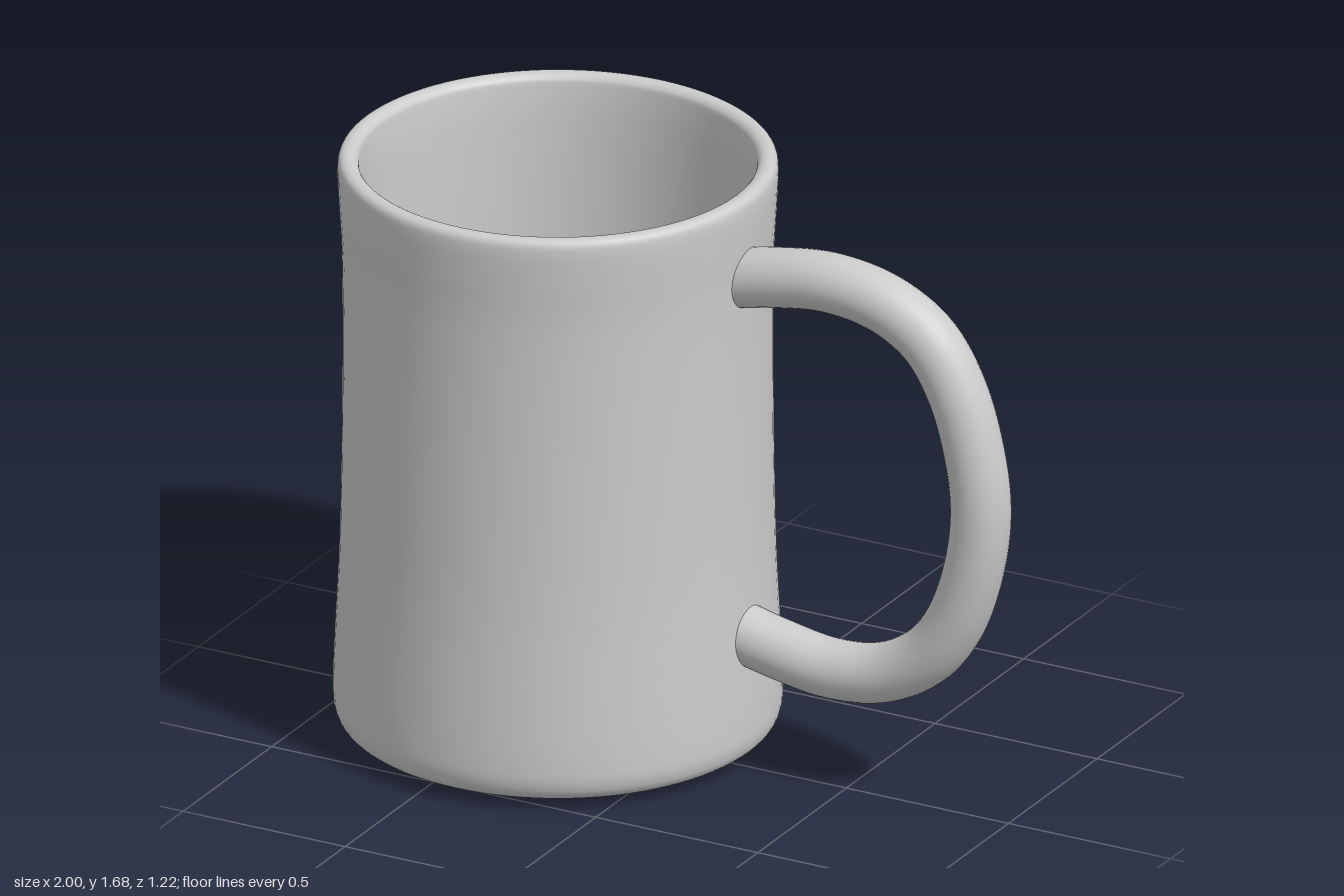
import * as THREE from 'three';

const CENTRE_X = -0.39;
const HANDLE_RADIUS = 0.083;

// Smooth curve through [a, b] pairs
function smoothPoints(pairs, count) {
  return new THREE.SplineCurve(pairs.map(([a, b]) => new THREE.Vector2(a, b))).getPoints(count);
}

export function createModel() {
  const group = new THREE.Group();
  const material = new THREE.MeshStandardMaterial({ color: 0xcccccc, roughness: 0.6 });

  // Body: underside, waisted outer wall, rounded rim, inner wall and floor
  const profile = smoothPoints([
    [0, 0], [0.25, 0.002], [0.42, 0.008], [0.53, 0.02], [0.585, 0.04], [0.607, 0.08], [0.61, 0.15],
    [0.604, 0.3], [0.592, 0.55], [0.586, 0.85], [0.584, 1.15], [0.586, 1.4], [0.594, 1.55],
    [0.598, 1.64], [0.592, 1.675], [0.57, 1.685], [0.546, 1.675], [0.538, 1.64],
    [0.532, 1.5], [0.53, 1.1], [0.535, 0.6], [0.545, 0.25], [0.535, 0.16],
    [0.49, 0.115], [0.38, 0.1], [0.2, 0.095], [0, 0.095],
  ], 130);
  profile[0].x = 0;
  profile[profile.length - 1].x = 0;
  const body = new THREE.Mesh(new THREE.LatheGeometry(profile, 96), material);
  body.name = 'mugBody';
  body.position.x = CENTRE_X;
  group.add(body);

  // Handle: round tube whose ends are buried in the wall
  const path = new THREE.CatmullRomCurve3([
    [0.165, 1.437], [0.28, 1.462], [0.45, 1.482], [0.62, 1.455], [0.755, 1.375], [0.84, 1.245],
    [0.895, 1.07], [0.915, 0.91], [0.897, 0.745], [0.84, 0.57], [0.755, 0.45], [0.62, 0.368],
    [0.46, 0.345], [0.29, 0.369], [0.165, 0.398],
  ].map(([x, y]) => new THREE.Vector3(x, y, 0)));
  const handle = new THREE.Group();
  handle.name = 'handle';
  const tube = new THREE.Mesh(new THREE.TubeGeometry(path, 96, HANDLE_RADIUS, 32), material);
  tube.name = 'handleTube';
  handle.add(tube);
  group.add(handle);

  return group;
}
